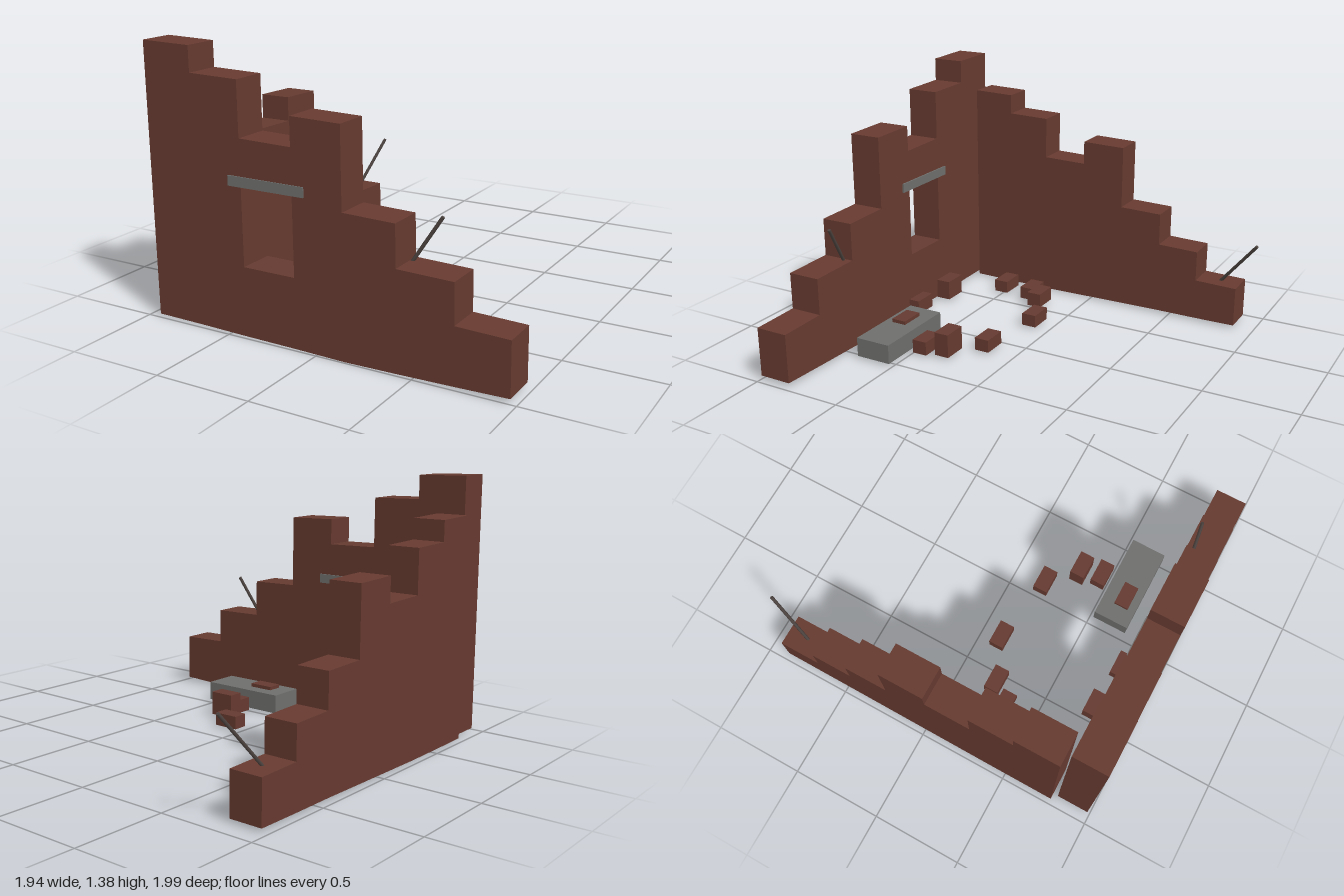
import * as THREE from 'three';

const mat = (name, color) => {
  const m = new THREE.MeshStandardMaterial({ color });
  m.name = name;
  return m;
};

// Stepped wall: column edges along its length, column tops, slightly uneven base
function wallGeometry(edges, tops, base, thickness, hole, bend) {
  const shape = new THREE.Shape();
  const n = tops.length;
  shape.moveTo(edges[0], base[0]);
  for (let i = 1; i <= n; i++) shape.lineTo(edges[i], base[i]);
  for (let i = n - 1; i >= 0; i--) {
    shape.lineTo(edges[i + 1], tops[i] - 0.003);
    shape.lineTo(edges[i], tops[i] + 0.003);
  }
  shape.closePath();
  if (hole) {
    const [x0, y0, x1, y1] = hole;
    shape.holes.push(new THREE.Path([[x0, y0], [x0, y1], [x1, y1], [x1, y0]].map(p => new THREE.Vector2(...p))));
  }
  const geo = new THREE.ExtrudeGeometry(shape, { depth: thickness, bevelEnabled: false });
  // Gentle lean along the length
  const pos = geo.attributes.position;
  for (let i = 0; i < pos.count; i++) pos.setZ(i, pos.getZ(i) + bend * pos.getX(i));
  geo.computeVertexNormals();
  return geo;
}

export function createModel() {
  const group = new THREE.Group();
  group.name = 'ruinedWalls';
  const brick = mat('brick', 0x663a30);
  const concrete = mat('concrete', 0x6e6f6d);
  const iron = mat('rustyIron', 0x4c433f);

  const add = (name, geo, material, x = 0, y = 0, z = 0) => {
    const mesh = new THREE.Mesh(geo, material);
    mesh.name = name;
    mesh.position.set(x, y, z);
    group.add(mesh);
    return mesh;
  };

  // Front wall with window opening
  add('frontWall', wallGeometry(
    [-0.94, -0.67, -0.4, -0.115, 0.15, 0.42, 0.705, 0.97],
    [1.38, 1.247, 0.97, 1.105, 0.703, 0.493, 0.29],
    [0.012, 0.01, 0.006, 0.004, 0, 0.006, 0.014, 0.023],
    0.178, [-0.4, 0.355, -0.115, 0.745], 0.005), brick, 0, 0, 0.812);

  // Side wall, running backwards
  add('sideWall', wallGeometry(
    [-0.78, -0.545, -0.308, -0.06, 0.185, 0.425, 0.655, 0.89],
    [1.182, 1.067, 0.831, 0.956, 0.6, 0.415, 0.24],
    [0.008, 0.006, 0.005, 0.008, 0.011, 0.014, 0.014, 0.016],
    0.172, null, 0.004).rotateY(Math.PI / 2), brick, -0.968, 0, 0);

  // Lintel over the window
  add('lintel', new THREE.BoxGeometry(0.42, 0.05, 0.192), concrete, -0.26, 0.768, 0.898);

  // Fallen slab
  add('fallenSlab', new THREE.BoxGeometry(0.49, 0.105, 0.2), concrete, 0.29, 0.065, 0.62);

  // Loose bricks: x, z, bottom, top
  const bricks = [
    [-0.31, 0.117, 0.01, 0.08], [-0.55, 0.217, 0.02, 0.1],
    [-0.645, 0.317, 0.01, 0.08], [-0.67, 0.507, 0.01, 0.08],
    [0.095, 0.181, 0.01, 0.08], [0.253, 0.333, 0.01, 0.14],
    [0.285, 0.451, 0.01, 0.085], [0.21, 0.635, 0.06, 0.137],
    [-0.415, 0.757, 0.01, 0.12], [-0.145, 0.79, 0.01, 0.09],
  ];
  bricks.forEach(([x, z, y0, y1], i) =>
    add(`looseBrick${i + 1}`, new THREE.BoxGeometry(0.138, y1 - y0, 0.083), brick, x, (y0 + y1) / 2, z));

  // Bent reinforcing bars sticking out of the broken ends
  const bar = (name, a, b) => {
    const from = new THREE.Vector3(...a), to = new THREE.Vector3(...b);
    const dir = to.clone().sub(from);
    const mesh = add(name, new THREE.CylinderGeometry(0.009, 0.009, dir.length(), 6), iron);
    mesh.position.copy(from).add(to).multiplyScalar(0.5);
    mesh.quaternion.setFromUnitVectors(new THREE.Vector3(0, 1, 0), dir.normalize());
  };
  bar('frontBar', [0.42, 0.475, 0.865], [0.567, 0.708, 0.835]);
  bar('sideBar', [-0.88, 0.225, -0.765], [-0.812, 0.5, -0.99]);

  return group;
}
